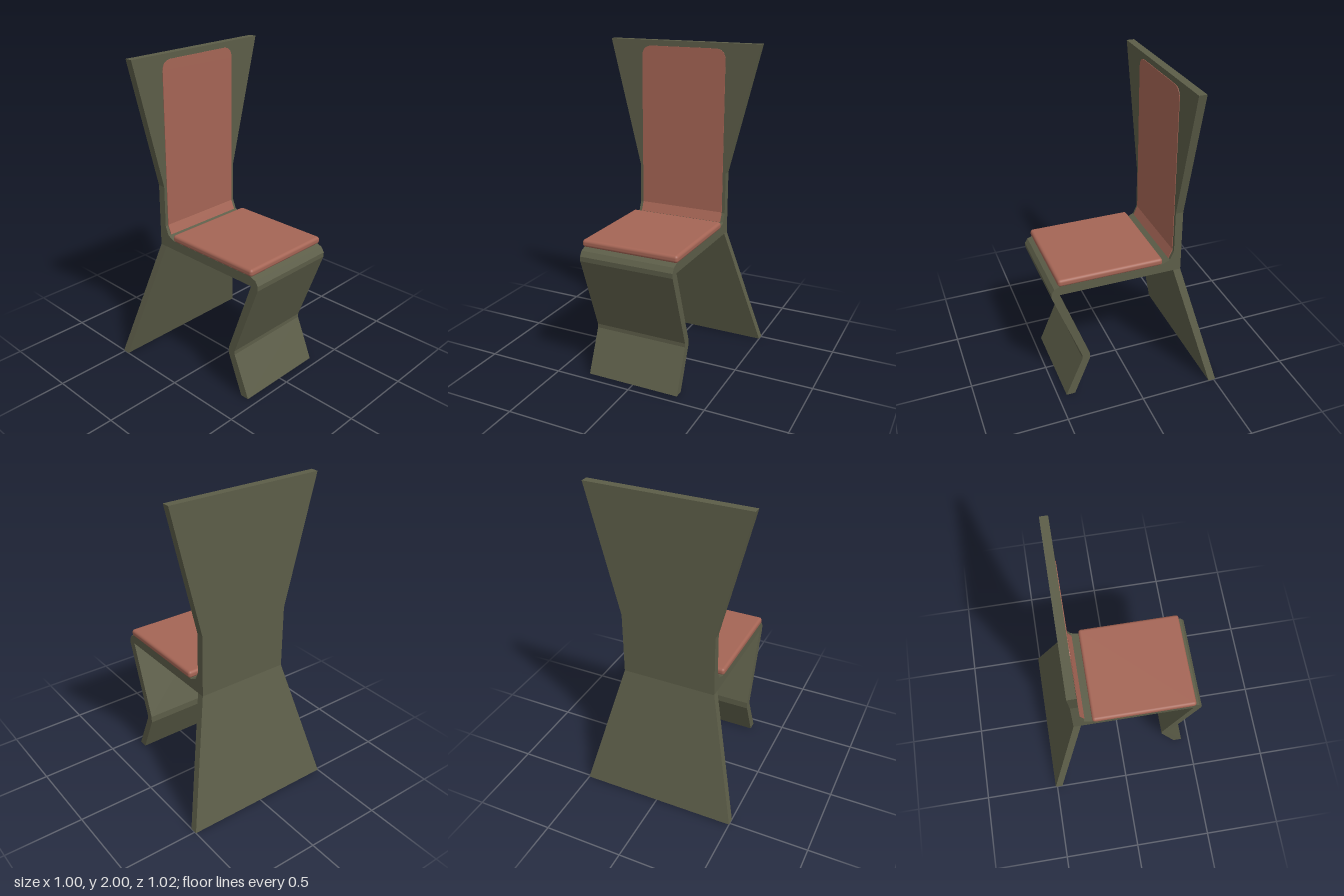
import * as THREE from 'three';
import { RoundedBoxGeometry } from 'three/addons/geometries/RoundedBoxGeometry.js';

const frame = new THREE.MeshStandardMaterial({ color: 0x5c5d48 });
frame.name = 'olive frame';
const fabric = new THREE.MeshStandardMaterial({ color: 0xa56555 });
fabric.name = 'terracotta fabric';

// Extrudes a side profile of [z, y] points across the given width
function sideExtrude(points, width) {
  const shape = new THREE.Shape(points.map(([z, y]) => new THREE.Vector2(z, y)));
  const geo = new THREE.ExtrudeGeometry(shape, { depth: width, bevelEnabled: false });
  return geo.rotateY(-Math.PI / 2).translate(width / 2, 0, 0);
}

// Slab with flared ends: rows run from the splayed foot up to the top edge
function backSlab() {
  const rows = [
    { y: 0, half: 0.5, z: -0.488 },
    { y: 0.8, half: 0.3, z: -0.288 },
    { y: 1.2, half: 0.3, z: -0.288 },
    { y: 2, half: 0.5, z: -0.288 },
  ];
  const geo = new THREE.BoxGeometry(2, 3, 0.048, 1, 3, 1);
  const p = geo.attributes.position;
  for (let i = 0; i < p.count; i++) {
    const r = rows[Math.round(p.getY(i) + 1.5)];
    p.setXYZ(i, p.getX(i) * r.half, r.y, p.getZ(i) + r.z);
  }
  const flat = geo.toNonIndexed();
  flat.computeVertexNormals();
  return flat;
}

// Upholstered face with rounded upper corners
function backPadGeometry() {
  const w = 0.28, bottom = 0.94, top = 1.965, r = 0.07;
  const s = new THREE.Shape();
  s.moveTo(-w, bottom);
  s.lineTo(w, bottom);
  s.lineTo(w, top - r);
  s.quadraticCurveTo(w, top, w - r, top);
  s.lineTo(r - w, top);
  s.quadraticCurveTo(-w, top, -w, top - r);
  s.closePath();
  return new THREE.ExtrudeGeometry(s, { depth: 0.004, bevelEnabled: false }).translate(0, 0, -0.265);
}

export function createModel() {
  const chair = new THREE.Group();
  chair.name = 'chair';
  const add = (name, geo, material) => {
    const mesh = new THREE.Mesh(geo, material);
    mesh.name = name;
    chair.add(mesh);
    return mesh;
  };

  // Backrest and splayed rear leg in one folded board
  add('backrestAndRearLeg', backSlab(), frame);

  // Seat board folding into the kinked front leg
  add('seatAndFrontLeg', sideExtrude([
    [-0.265, 0.8], [0.46, 0.8], [0.285, 0.31], [0.285, 0.265], [0.39, 0.005],
    [0.447, 0.005], [0.333, 0.275], [0.333, 0.3], [0.51, 0.785], [0.511, 0.815],
    [0.492, 0.845], [0.455, 0.86], [-0.19, 0.86], [-0.24, 0.882], [-0.265, 0.94],
  ], 0.6), frame);

  // Loose seat cushion
  add('seatCushion', new RoundedBoxGeometry(0.62, 0.046, 0.66, 3, 0.018), fabric)
    .position.set(0, 0.882, 0.14);

  // Backrest upholstery, continued down the sloping fillet
  add('backPad', backPadGeometry(), fabric);
  add('backPadFoot', sideExtrude([
    [-0.265, 0.94], [-0.24, 0.882], [-0.236, 0.884], [-0.261, 0.942],
  ], 0.56), fabric);

  return chair;
}
